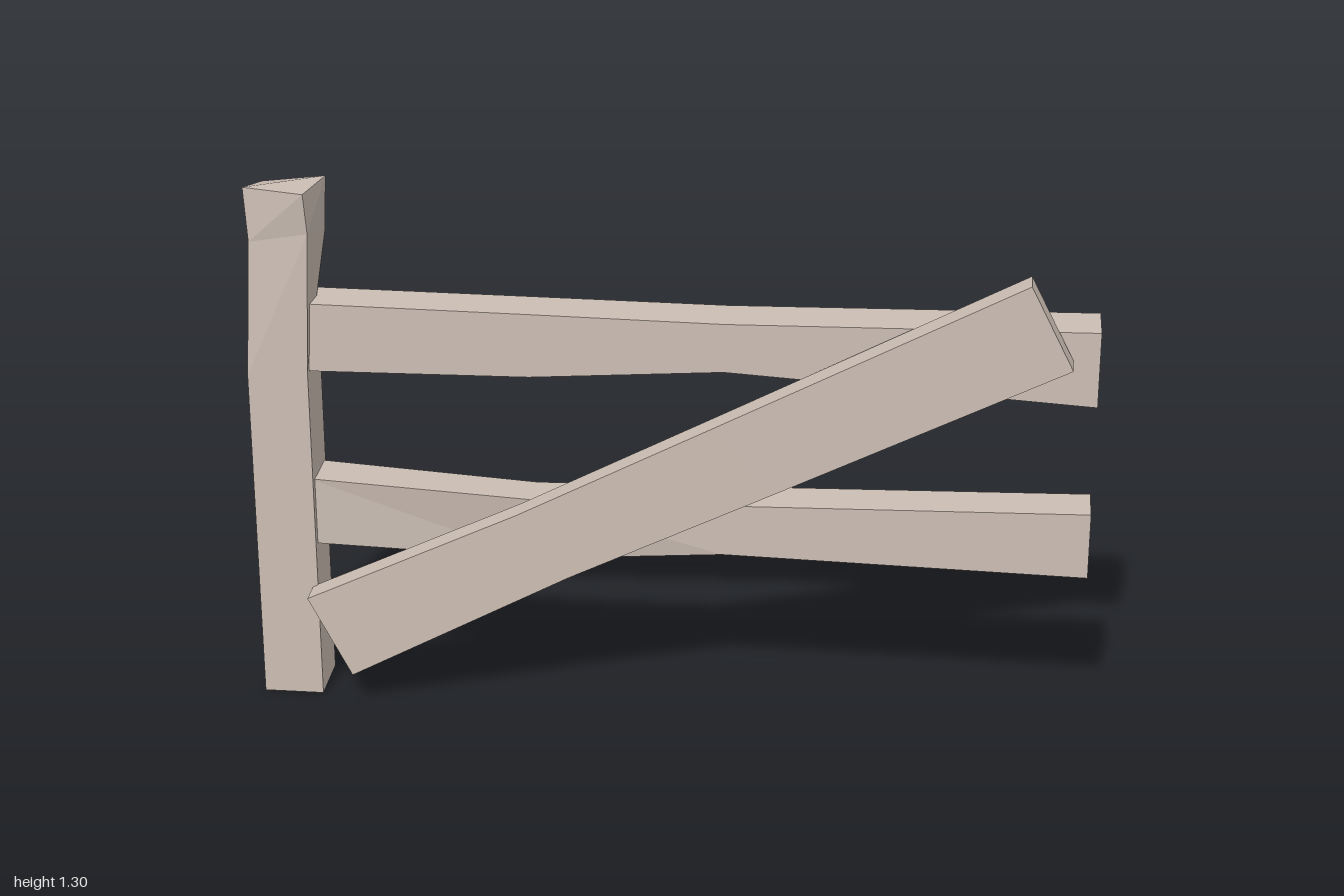
import * as THREE from 'three';

// Closed beam through four-cornered rings; corners run counter-clockwise seen from the far end.
function beam(name, rings, material) {
  const positions = [];
  const quad = (a, b, c, d) => positions.push(...a, ...b, ...c, ...a, ...c, ...d);
  for (let r = 0; r < rings.length - 1; r++) {
    const p = rings[r], q = rings[r + 1];
    for (let i = 0; i < 4; i++) {
      const j = (i + 1) % 4;
      quad(p[i], p[j], q[j], q[i]);
    }
  }
  const first = rings[0], last = rings[rings.length - 1];
  quad(first[3], first[2], first[1], first[0]);
  quad(...last);
  const geometry = new THREE.BufferGeometry();
  geometry.setAttribute('position', new THREE.Float32BufferAttribute(positions, 3));
  geometry.computeVertexNormals();
  const mesh = new THREE.Mesh(geometry, material);
  mesh.name = name;
  return mesh;
}

// Upright section of a horizontal rail
const section = (x, bottom, top, front, back, lowFront = front) => [
  [x, bottom, lowFront], [x, bottom, back], [x, top, back], [x, top, front],
];

// Section of the slanted brace, from its lower and upper edge points
const slanted = (low, high, front, back) => [
  [...low, front], [...low, back], [...high, back], [...high, front],
];

export function createModel() {
  const model = new THREE.Group();
  model.name = 'brokenFence';
  const wood = new THREE.MeshStandardMaterial({ color: 0xcbbdb3 });
  wood.name = 'weatheredWood';

  // Post: square below, notched at one back corner, twisted at the top
  const square = (y) => [[-1, y, 0.05], [-0.855, y, 0.05], [-0.855, y, -0.098], [-1, y, -0.098]];
  model.add(beam('post', [
    square(0),
    square(0.6),
    [[-1, 0.84, 0.05], [-0.855, 0.86, 0.05], [-0.855, 1.0, -0.098], [-0.95, 0.88, -0.084]],
    [[-0.985, 1.17, 0.03], [-0.84, 1.2, 0.048], [-0.83, 1.16, -0.098], [-1, 1.1, -0.098]],
    [[-0.995, 1.3, 0.02], [-0.845, 1.3, 0.058], [-0.82, 1.3, -0.085], [-0.98, 1.27, -0.118]],
  ], wood));

  // Rails
  model.add(beam('upperRail', [
    section(-0.87, 0.85, 1.02, 0.03, -0.085),
    section(-0.33, 0.857, 1.015, 0.032, -0.087),
    section(0.13, 0.89, 1.01, 0.035, -0.09),
    section(1, 0.84, 1.025, 0.04, -0.09),
  ], wood));
  model.add(beam('lowerRail', [
    section(-0.87, 0.4, 0.57, 0.03, -0.085),
    section(-0.33, 0.37, 0.535, 0.02, -0.085, 0),
    section(0.13, 0.417, 0.545, 0.03, -0.085),
    section(1, 0.4, 0.565, 0.035, -0.085),
  ], wood));

  // Fallen brace leaning across the front
  model.add(beam('brace', [
    slanted([-0.765, 0.088], [-0.868, 0.29], 0.115, 0.045),
    slanted([-0.23, 0.378], [-0.355, 0.535], 0.115, 0.048),
    slanted([0.25, 0.616], [0.12, 0.785], 0.118, 0.05),
    slanted([0.938, 0.958], [0.835, 1.16], 0.115, 0.045),
  ], wood));

  return model;
}
